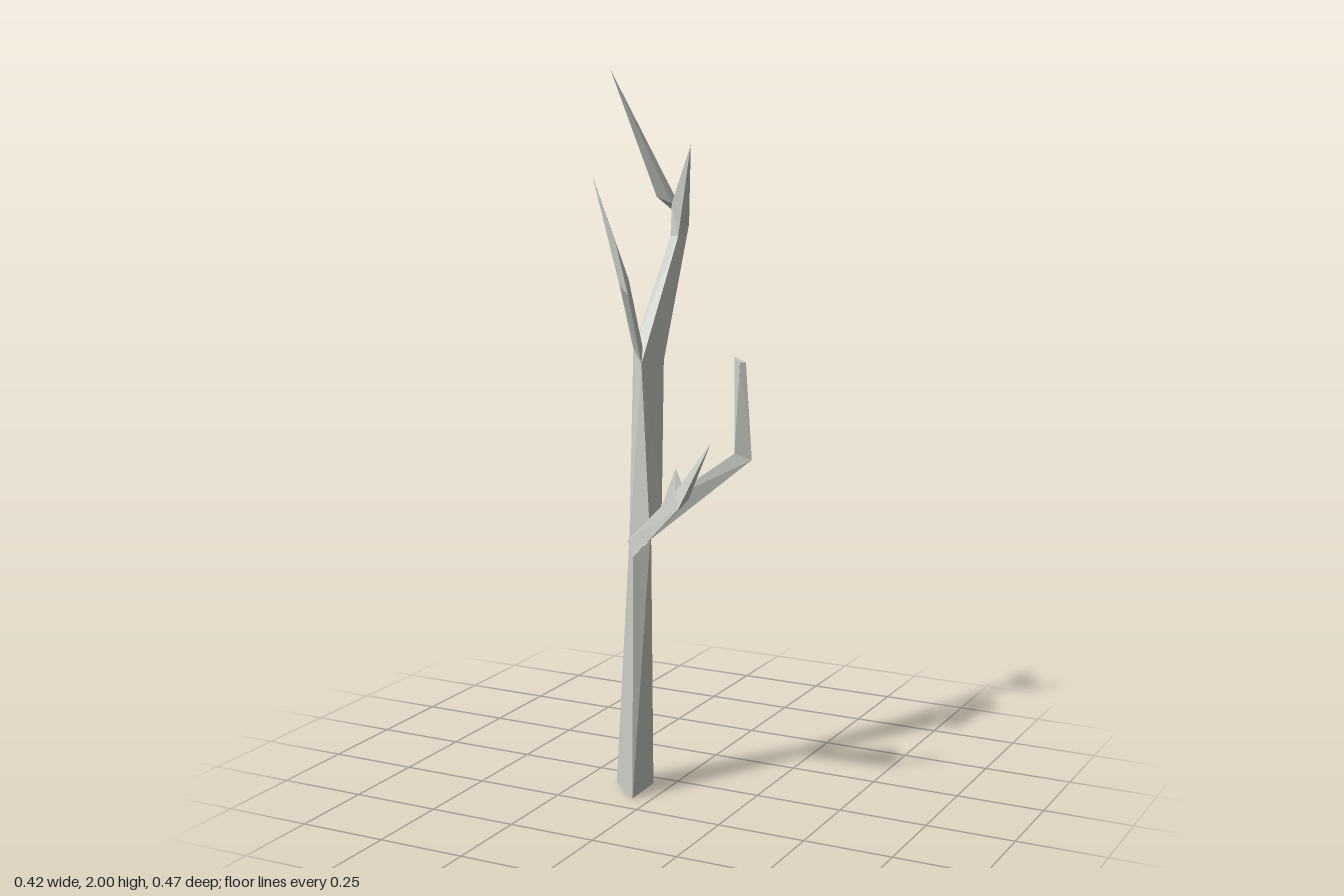
import * as THREE from 'three';
import { ConvexGeometry } from 'three/addons/geometries/ConvexGeometry.js';

export function createModel() {
  const model = new THREE.Group();
  model.name = 'bareTree';

  const bark = new THREE.MeshStandardMaterial({ color: 0xcbcec6 });
  bark.name = 'paleGreyBark';

  // Faceted limb section spanning its end rings; a single point makes a spike
  function limb(name, ...rings) {
    const points = rings.flat().map((p) => new THREE.Vector3(...p));
    const mesh = new THREE.Mesh(new ConvexGeometry(points), bark);
    mesh.name = name;
    model.add(mesh);
  }

  // Trunk rings
  const foot = [[-0.153, 0, 0.083], [-0.05, 0, 0.18], [-0.055, 0, 0.045]];
  const waist = [[-0.1, 0.72, 0.1], [-0.07, 0.68, 0.135], [-0.037, 0.725, 0.096], [-0.06, 0.745, 0.046]];
  const chest = [[-0.1, 0.71, 0.1], [-0.037, 0.725, 0.096], [-0.025, 0.82, 0.048], [-0.06, 0.745, 0.046]];
  const crown = [[-0.117, 1.245, 0.04], [-0.075, 1.21, 0.072], [-0.05, 1.21, -0.013]];
  limb('lowerTrunk', foot, waist);
  limb('upperTrunk', chest, crown);

  // Front left branch with a long tip and a short fin
  const frontRoot = [[-0.1, 0.72, 0.112], [-0.07, 0.68, 0.135], [-0.037, 0.73, 0.096]];
  const frontElbow = [[0.12, 0.855, 0.236], [0.132, 0.875, 0.198], [0.1, 0.895, 0.214]];
  limb('frontBranch', frontRoot, frontElbow);
  limb('frontBranchTip', frontElbow, [[0.207, 1.04, 0.215]]);
  limb('frontBranchFin', [frontRoot[2], frontElbow[1], frontElbow[2]], [[0.077, 0.95, 0.165]]);

  // Back left branch with a blunt upright end
  const backRoot = [[-0.037, 0.725, 0.096], [-0.02, 0.825, 0.045], [-0.06, 0.76, 0.03]];
  const backElbow = [[0.14, 0.915, -0.185], [0.1, 0.935, -0.155], [0.09, 0.905, -0.195]];
  const backEnd = [[0.06, 1.197, -0.238], [0.113, 1.19, -0.2], [0.1, 1.19, -0.188]];
  limb('backBranch', backRoot, backElbow);
  limb('backBranchEnd', backElbow, backEnd);

  // Main crown branch, forking into two spikes
  const forkElbow = [[-0.067, 1.57, -0.202], [-0.1, 1.54, -0.152], [-0.07, 1.54, -0.14]];
  const notch = [-0.1, 1.63, -0.16];
  limb('crownBranch', crown, forkElbow);
  limb('crownFork', forkElbow, [notch]);
  limb('tallSpike', [[-0.158, 1.645, -0.18], notch, forkElbow[0]], [[-0.21, 2, -0.008]]);
  limb('shortSpike', [notch, forkElbow[0], forkElbow[2]], [[0.008, 1.8, -0.062]]);

  // Front crown branch, bending back into one spike
  const twigRoot = [[-0.117, 1.245, 0.04], [-0.075, 1.21, 0.072], [-0.085, 1.25, 0.045]];
  const twigElbow = [[-0.04, 1.415, 0.212], [-0.05, 1.455, 0.19], [-0.068, 1.44, 0.208]];
  limb('frontCrownBranch', twigRoot, twigElbow);
  limb('frontCrownSpike', [...twigElbow, [-0.076, 1.555, 0.215]], [[-0.207, 1.72, 0.103]]);

  return model;
}
